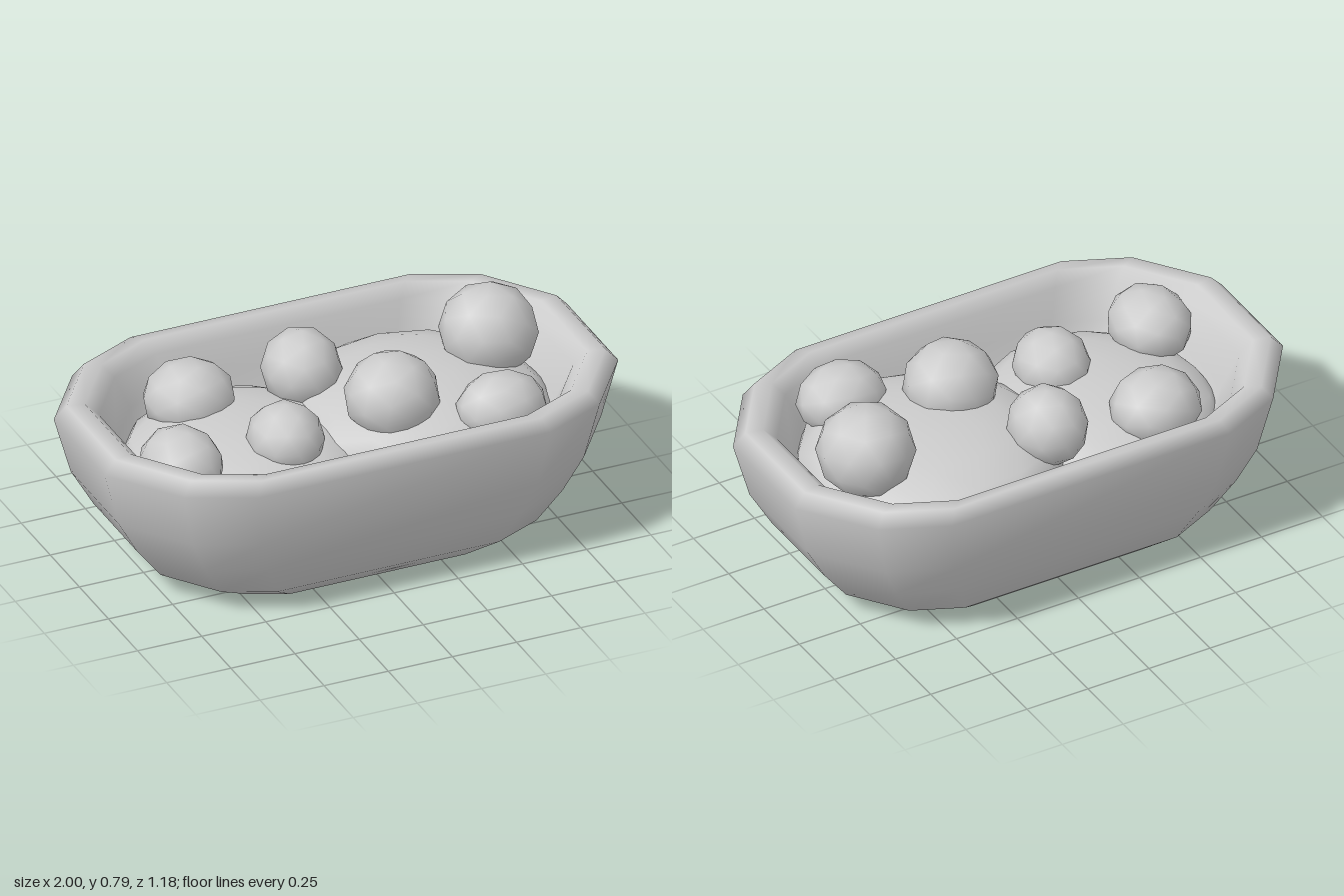
import * as THREE from 'three';

const material = new THREE.MeshStandardMaterial({ color: 0xcccccc });

// Twelve-cornered bowl outline, mirrored from one quarter
const quarter = [[1, 0.22], [0.81, 0.48], [0.57, 0.59]];
const flipped = [...quarter].reverse();
const outline = [
  ...quarter,
  ...flipped.map(([x, z]) => [-x, z]),
  ...quarter.map(([x, z]) => [-x, -z]),
  ...flipped.map(([x, z]) => [x, -z]),
];

// Bowl wall as [scale, height]: underside, outer wall, rim, inner wall, floor
const profile = [
  [0, 0], [0.6, 0], [0.76, 0.08], [0.86, 0.21], [0.94, 0.35], [1, 0.57],
  [0.955, 0.62], [0.89, 0.62], [0.84, 0.57], [0.78, 0.45], [0.68, 0.24],
  [0.5, 0.1], [0, 0.1],
];

function bowlGeometry() {
  const n = outline.length, positions = [], index = [];
  profile.forEach(([s, y], i) => {
    outline.forEach(([x, z], j) => {
      positions.push(x * s, y, z * s);
      if (i === profile.length - 1) return;
      const a = i * n + j, b = i * n + (j + 1) % n;
      index.push(a, a + n, b, b, a + n, b + n);
    });
  });
  const geometry = new THREE.BufferGeometry();
  geometry.setAttribute('position', new THREE.Float32BufferAttribute(positions, 3));
  geometry.setIndex(index);
  geometry.computeVertexNormals();
  return geometry;
}

// Rounded lump: a coarse ball turned first, then stretched to its radii
function lump(name, [x, y, z], [rx, ry, rz], detail, turn) {
  const geometry = new THREE.IcosahedronGeometry(1, detail);
  geometry.rotateX(turn * 0.7).rotateY(turn).scale(rx, ry, rz);
  const mesh = new THREE.Mesh(geometry, material);
  mesh.position.set(x, y, z);
  mesh.name = name;
  return mesh;
}

export function createModel() {
  const model = new THREE.Group();
  model.name = 'filledBowl';

  const bowl = new THREE.Mesh(bowlGeometry(), material);
  bowl.name = 'bowl';
  model.add(bowl);

  // Two overlapping mounds of food
  model.add(lump('rightMound', [-0.36, 0.39, 0], [0.43, 0.14, 0.44], 2, 0.3));
  model.add(lump('leftMound', [0.32, 0.42, 0], [0.48, 0.17, 0.475], 2, 0.9));

  // Chunks resting in the mounds: centre, radii
  const chunks = [
    [[-0.46, 0.52, -0.25], [0.17, 0.14, 0.16]],
    [[-0.04, 0.56, -0.21], [0.145, 0.15, 0.155]],
    [[0.635, 0.62, -0.09], [0.18, 0.175, 0.18]],
    [[0.15, 0.59, 0.15], [0.175, 0.165, 0.17]],
    [[0.5, 0.55, 0.32], [0.17, 0.13, 0.14]],
    [[-0.27, 0.52, 0.16], [0.14, 0.135, 0.15]],
    [[-0.69, 0.53, 0.19], [0.15, 0.135, 0.17]],
  ];
  chunks.forEach(([centre, radii], i) => {
    model.add(lump(`chunk${i + 1}`, centre, radii, 1, i * 1.1 + 0.4));
  });
  return model;
}
